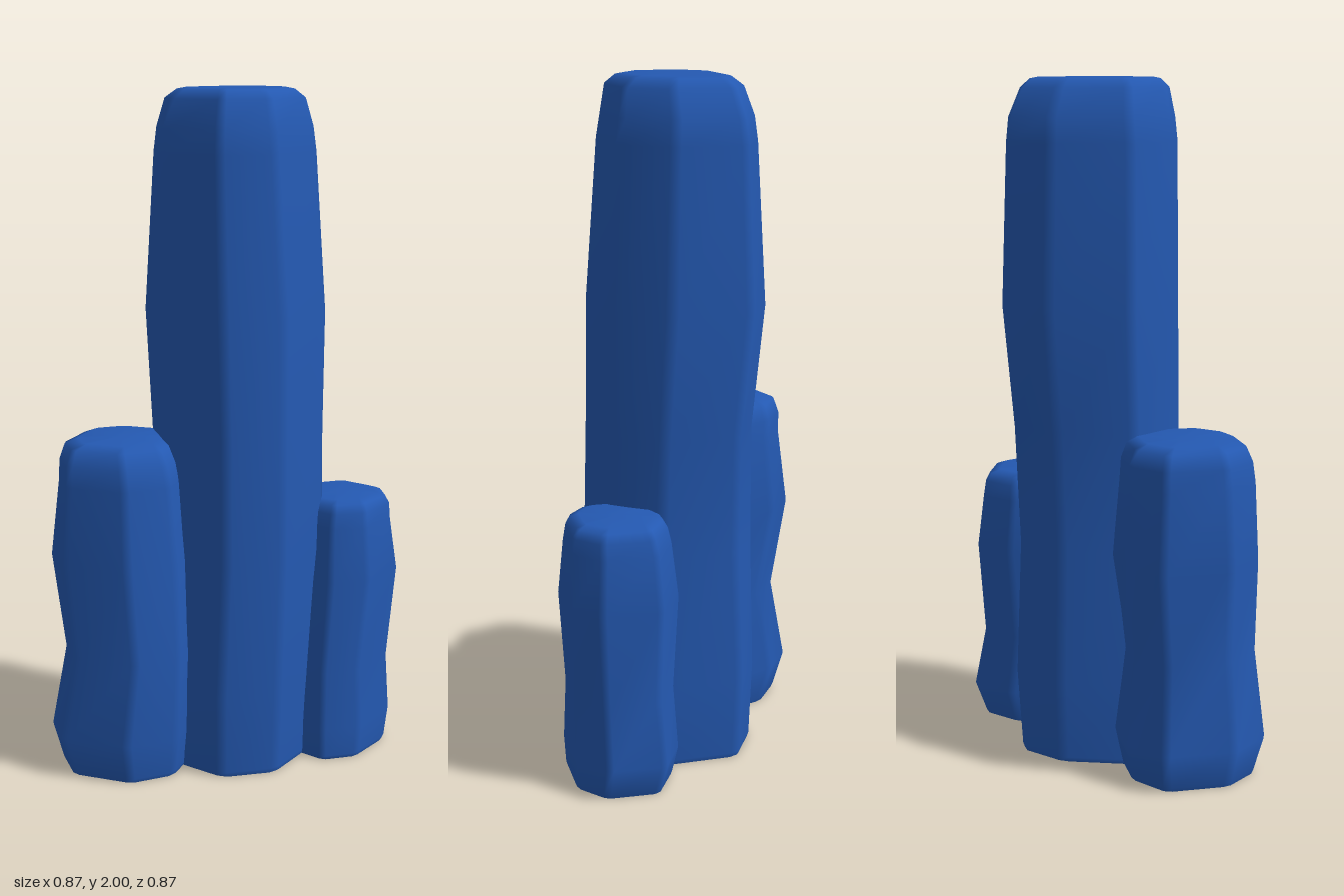
import * as THREE from 'three';

const blueStone = new THREE.MeshStandardMaterial({ color: 0x2459b2 });
blueStone.name = 'blueStone';

// Soften an outline by replacing each corner with two nearby points.
function softenCorners(corners, amount = 0.09) {
  const n = corners.length;
  return corners.flatMap((p, i) => [corners[(i + n - 1) % n], corners[(i + 1) % n]].map(
    (q) => [p[0] + (q[0] - p[0]) * amount, p[1] + (q[1] - p[1]) * amount]));
}

// Column: an octagonal outline fitted to the extents of each ring,
// rings = [y, xMin, xMax, zMin, zMax] from the ground up.
function column(name, corners, rings, wobble) {
  const outline = softenCorners(corners);
  const n = outline.length;
  const xs = outline.map((p) => p[0]), zs = outline.map((p) => p[1]);
  const x0 = Math.min(...xs), z0 = Math.min(...zs);
  const w = Math.max(...xs) - x0, d = Math.max(...zs) - z0;
  const pos = [], idx = [];

  const addRing = ([y, xa, xb, za, zb], k) => {
    const start = pos.length / 3;
    const middle = k > 1 && k < rings.length - 3;
    outline.forEach(([x, z], i) => {
      // Slight dents, pushed inwards only
      const corner = Math.floor(i / 2);
      const s = middle ? 1 - wobble * (0.5 + 0.5 * Math.sin(corner * 2.6 + k * 1.9)) : 1;
      const cx = (xa + xb) / 2, cz = (za + zb) / 2;
      pos.push(cx + ((x - x0) / w - 0.5) * (xb - xa) * s, y,
        cz + ((z - z0) / d - 0.5) * (zb - za) * s);
    });
    return start;
  };
  const addCap = (start, ring, up) => {
    const c = pos.length / 3;
    pos.push((ring[1] + ring[2]) / 2, ring[0], (ring[3] + ring[4]) / 2);
    for (let i = 0; i < n; i++) {
      const a = start + i, b = start + (i + 1) % n;
      idx.push(c, up ? b : a, up ? a : b);
    }
  };

  // Sides
  const starts = rings.map(addRing);
  for (let k = 0; k + 1 < rings.length; k++) {
    for (let i = 0; i < n; i++) {
      const j = (i + 1) % n;
      const a = starts[k] + i, b = starts[k] + j, c = starts[k + 1] + i, e = starts[k + 1] + j;
      idx.push(a, c, b, b, c, e);
    }
  }
  // Soft top, sharp underside
  addCap(starts[starts.length - 1], rings[rings.length - 1], true);
  addCap(addRing(rings[0], 0), rings[0], false);

  const g = new THREE.BufferGeometry();
  g.setAttribute('position', new THREE.Float32BufferAttribute(pos, 3));
  g.setIndex(idx);
  g.computeVertexNormals();
  const mesh = new THREE.Mesh(g, blueStone);
  mesh.name = name;
  return mesh;
}

export function createModel() {
  const group = new THREE.Group();
  group.name = 'rockColumns';

  group.add(column('tallColumn',
    [[-0.11, -0.325], [0.13, -0.3], [0.27, -0.165], [0.26, 0.09],
      [0.13, 0.215], [-0.12, 0.19], [-0.24, 0.06], [-0.21, -0.19]],
    [
      [0, -0.21, 0.24, -0.27, 0.2],
      [0.015, -0.215, 0.245, -0.275, 0.205],
      [0.25, -0.225, 0.258, -0.29, 0.22],
      [0.65, -0.215, 0.27, -0.275, 0.208],
      [1.0, -0.21, 0.262, -0.292, 0.202],
      [1.36, -0.24, 0.257, -0.32, 0.2],
      [1.82, -0.208, 0.222, -0.302, 0.192],
      [1.89, -0.198, 0.212, -0.298, 0.182],
      [1.97, -0.17, 0.195, -0.262, 0.165],
      [1.995, -0.135, 0.165, -0.235, 0.14],
      [2, -0.11, 0.14, -0.21, 0.115],
    ], 0.015));

  group.add(column('mediumColumn',
    [[-0.34, 0.02], [-0.13, -0.02], [-0.02, 0.07], [0.01, 0.27],
      [-0.08, 0.395], [-0.29, 0.435], [-0.4, 0.34], [-0.44, 0.13]],
    [
      [0, -0.4, -0.02, 0.02, 0.405],
      [0.012, -0.405, -0.015, 0.015, 0.41],
      [0.12, -0.44, 0, -0.01, 0.437],
      [0.37, -0.392, 0.01, 0.015, 0.41],
      [0.65, -0.437, -0.005, -0.015, 0.415],
      [0.88, -0.408, -0.03, 0.005, 0.4],
      [0.94, -0.405, -0.045, 0.012, 0.39],
      [0.985, -0.39, -0.07, 0.03, 0.37],
      [1, -0.35, -0.105, 0.065, 0.335],
    ], 0.025));

  group.add(column('shortColumn',
    [[0.19, -0.437], [0.365, -0.41], [0.435, -0.31], [0.415, -0.13],
      [0.33, -0.047], [0.17, -0.07], [0.085, -0.15], [0.1, -0.32]],
    [
      [0, 0.11, 0.405, -0.4, -0.06],
      [0.012, 0.105, 0.41, -0.405, -0.055],
      [0.1, 0.09, 0.418, -0.437, -0.048],
      [0.28, 0.1, 0.412, -0.402, -0.055],
      [0.56, 0.085, 0.435, -0.425, -0.07],
      [0.72, 0.105, 0.415, -0.402, -0.088],
      [0.765, 0.12, 0.408, -0.393, -0.098],
      [0.79, 0.135, 0.395, -0.38, -0.11],
      [0.8, 0.16, 0.37, -0.35, -0.135],
    ], 0.03));

  return group;
}
